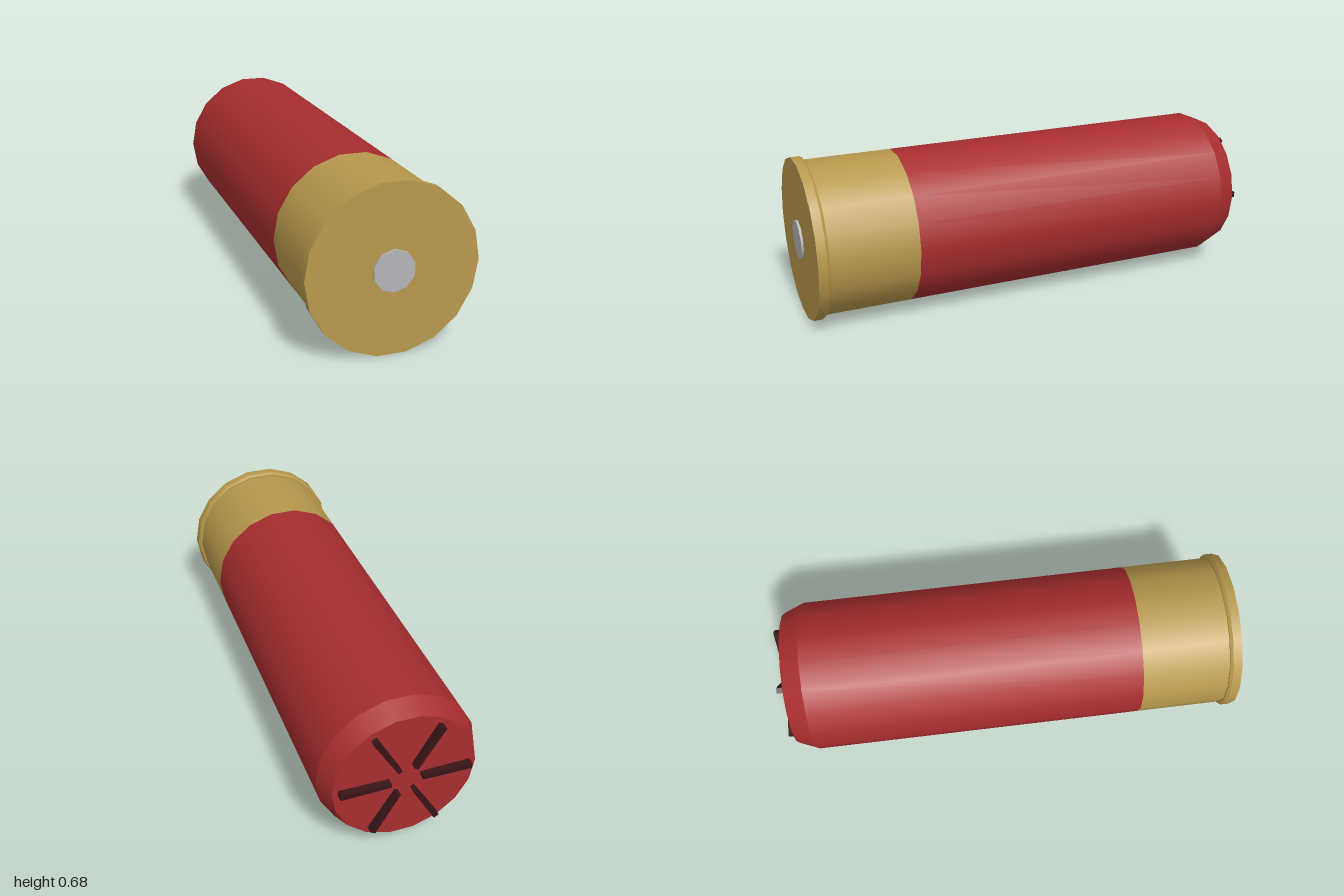
import * as THREE from 'three';

const AXIS_Y = 0.342;
const SIDES = 18;

const mat = (name, color) => {
  const m = new THREE.MeshStandardMaterial({ color });
  m.name = name;
  return m;
};

export function createModel() {
  const brass = mat('brass', 0xb8984c);
  const red = mat('red plastic', 0xa82d2f);
  const steel = mat('primer steel', 0xb4b5b9);
  const dark = mat('dark crimp', 0x3a1517);

  const model = new THREE.Group();
  model.name = 'cartridge';

  // Lathed section along z, from zBack (radius rBack) to zFront (radius rFront)
  const section = (name, material, zBack, rBack, zFront, rFront, open = true, sides = SIDES, start = Math.PI / 2) => {
    const geo = new THREE.CylinderGeometry(rFront, rBack, zFront - zBack, sides, 1, open, start);
    geo.rotateX(Math.PI / 2);
    const mesh = new THREE.Mesh(geo, material);
    mesh.name = name;
    mesh.position.set(0, AXIS_Y, (zBack + zFront) / 2);
    model.add(mesh);
  };

  // Flat disc closing a section; faces front (+z) or back (-z)
  const disc = (name, material, z, radius, front) => {
    const mesh = new THREE.Mesh(new THREE.CircleGeometry(radius, SIDES), material);
    mesh.name = name;
    mesh.position.set(0, AXIS_Y, z);
    if (!front) mesh.rotation.y = Math.PI;
    model.add(mesh);
  };

  // Brass head with its rim
  section('rim', brass, 0.952, 0.347, 0.99, 0.347);
  section('rimChamfer', brass, 0.94, 0.339, 0.952, 0.347);
  disc('rimFace', brass, 0.99, 0.347, true);
  disc('rimBack', brass, 0.94, 0.339, false);
  section('brassHead', brass, 0.565, 0.331, 0.94, 0.331);

  // Primer in the centre of the head
  section('primer', steel, 0.97, 0.085, 1.0, 0.085, false, 10, 0);

  // Plastic tube with a tapered mouth
  section('tube', red, -0.885, 0.331, 0.565, 0.331);
  section('tubeShoulder', red, -0.97, 0.296, -0.885, 0.331);
  disc('tubeEnd', red, -0.97, 0.296, false);

  // Six radial crimp folds, slightly narrower towards the centre
  const inner = 0.065, outer = 0.27;
  const fold = new THREE.BoxGeometry(outer - inner, 0.024, 0.032);
  const pos = fold.attributes.position;
  for (let i = 0; i < pos.count; i++) {
    if (pos.getX(i) < 0) pos.setY(i, pos.getY(i) * 0.75);
  }
  fold.translate((inner + outer) / 2, 0, 0);
  fold.computeVertexNormals();
  for (let i = 0; i < 6; i++) {
    const mesh = new THREE.Mesh(fold, dark);
    mesh.name = 'crimpFold' + (i + 1);
    mesh.position.set(0, AXIS_Y, -0.984);
    mesh.rotation.z = (i * Math.PI) / 3;
    model.add(mesh);
  }
  return model;
}
